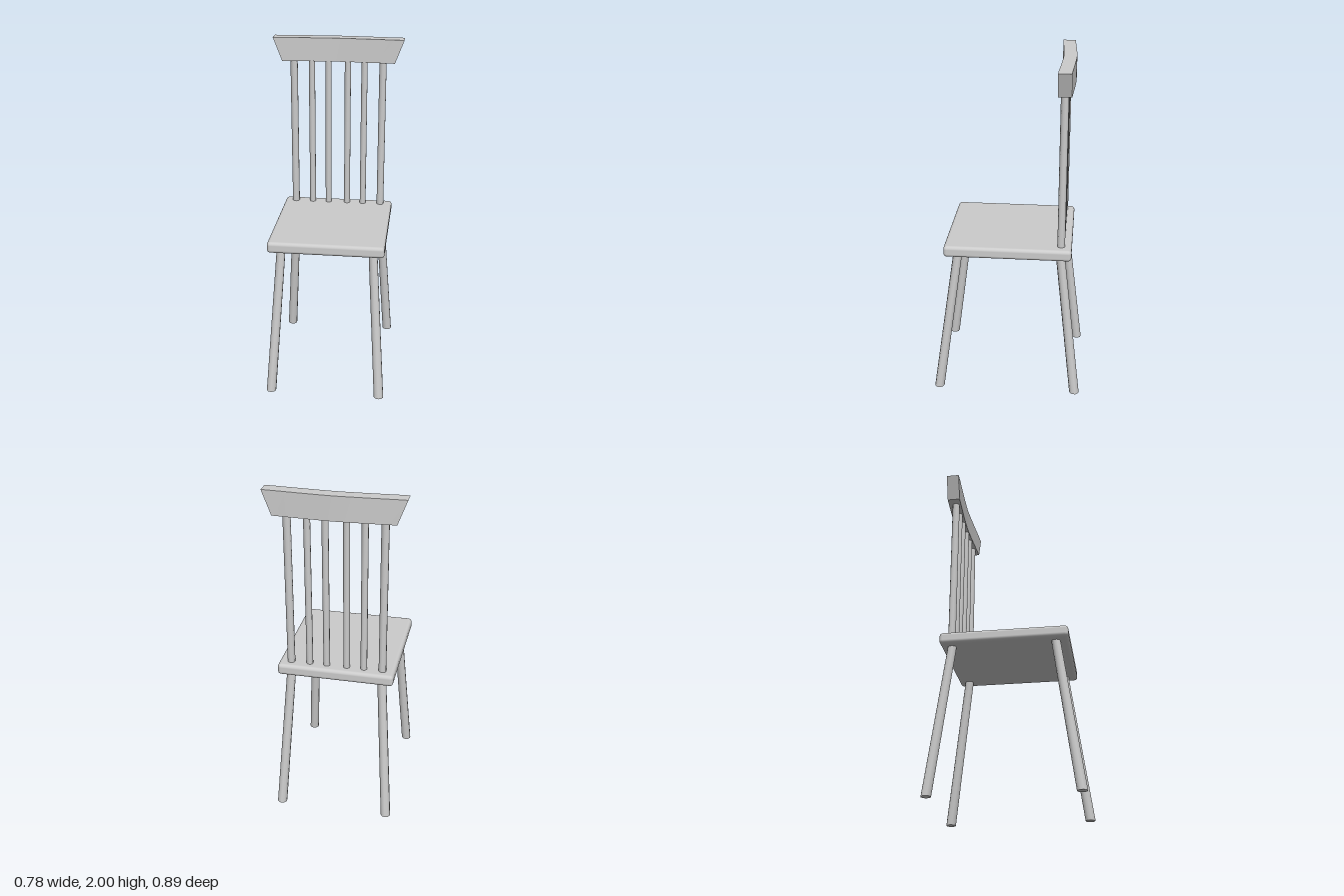
import * as THREE from 'three';
import { RoundedBoxGeometry } from 'three/addons/geometries/RoundedBoxGeometry.js';
import { toCreasedNormals } from 'three/addons/utils/BufferGeometryUtils.js';

const material = new THREE.MeshStandardMaterial({ color: 0xcccccc });

function part(name, geometry) {
  const mesh = new THREE.Mesh(geometry, material);
  mesh.name = name;
  return mesh;
}

// Round bar between two points, sheared so that both ends are cut level
function bar(name, [x0, y0, z0], [x1, y1, z1], r0, r1) {
  const h = y1 - y0;
  const geo = new THREE.CylinderGeometry(r1, r0, h, 10);
  geo.applyMatrix4(new THREE.Matrix4().set(
    1, (x1 - x0) / h, 0, (x0 + x1) / 2,
    0, 1, 0, (y0 + y1) / 2,
    0, (z1 - z0) / h, 1, (z0 + z1) / 2,
    0, 0, 0, 1));
  return part(name, toCreasedNormals(geo, 0.9));
}

// Top rail: wider at the top, bowed backwards in the middle
function topRail() {
  const geo = new THREE.BoxGeometry(2, 0.14, 0.074, 12, 1, 1);
  const p = geo.attributes.position;
  for (let i = 0; i < p.count; i++) {
    const u = p.getX(i);
    const top = p.getY(i) > 0;
    const x = u * (top ? 0.39 : 0.337);
    const bow = 0.017 * Math.min(1, Math.pow(Math.abs(x) / 0.36, 1.3));
    p.setXYZ(i, x, p.getY(i) + 1.93, p.getZ(i) - 0.331 + bow);
  }
  return part('topRail', toCreasedNormals(geo, 0.5));
}

export function createModel() {
  const chair = new THREE.Group();
  chair.name = 'chair';

  // Seat slab with softened edges
  const seat = part('seat', new RoundedBoxGeometry(0.676, 0.067, 0.738, 3, 0.02));
  seat.position.set(-0.002, 0.922, -0.005);
  chair.add(seat);

  // Splayed legs
  for (const side of [1, -1]) {
    const name = side > 0 ? 'Left' : 'Right';
    chair.add(bar('front' + name + 'Leg', [side * 0.325, 0, 0.413], [side * 0.266, 0.91, 0.285], 0.029, 0.026));
    chair.add(bar('back' + name + 'Leg', [side * 0.325, 0, -0.415], [side * 0.266, 0.91, -0.308], 0.029, 0.026));
  }

  // Back spindles, the outer pair slightly thicker
  const spindles = new THREE.Group();
  spindles.name = 'backSpindles';
  [-0.27, -0.162, -0.062, 0.055, 0.155, 0.265].forEach((x, i) => {
    const r = i === 0 || i === 5 ? 0.022 : 0.019;
    spindles.add(bar('spindle' + (i + 1), [x, 0.94, -0.313], [x, 1.87, -0.313], r, r));
  });
  chair.add(spindles);

  chair.add(topRail());
  return chair;
}
